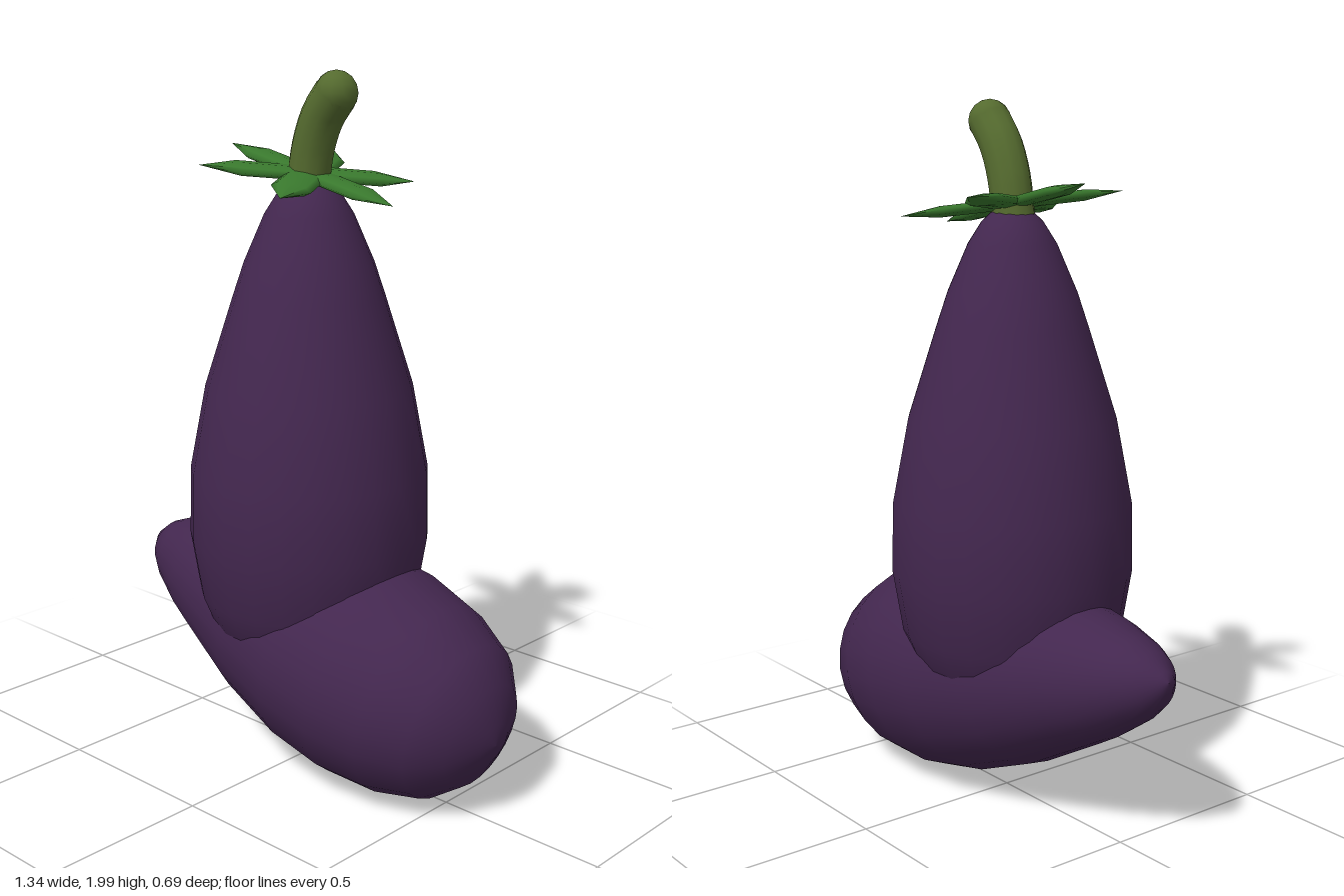
import * as THREE from 'three';

const material = (name, color) => {
  const m = new THREE.MeshStandardMaterial({ color });
  m.name = name;
  return m;
};

export function createModel() {
  const model = new THREE.Group();
  model.name = 'eggplants';
  const skin = material('purple skin', 0x43274f);
  const leafGreen = material('leaf green', 0x3a7a2e);
  const stemGreen = material('stem green', 0x556b2f);

  const add = (parent, name, geometry, mat) => {
    const mesh = new THREE.Mesh(geometry, mat);
    mesh.name = name;
    parent.add(mesh);
    return mesh;
  };

  // Fruit profile: [radius, distance below the narrow tip], blunt end first
  const profile = [
    [0, 1.37], [0.06, 1.36], [0.155, 1.318], [0.235, 1.24], [0.288, 1.11],
    [0.314, 0.95], [0.31, 0.77], [0.268, 0.55], [0.195, 0.32],
    [0.165, 0.23], [0.113, 0.11], [0.078, 0.055], [0.03, 0.01], [0, 0],
  ].map(([r, s]) => new THREE.Vector2(r, -s));
  const fruit = new THREE.LatheGeometry(profile, 24);

  const upright = add(model, 'uprightFruit', fruit, skin);
  upright.position.set(-0.025, 1.73, 0);
  upright.scale.setScalar(1.095);

  const lying = add(model, 'lyingFruit', fruit, skin);
  lying.position.set(-0.675, 0.522, 0);
  lying.rotation.z = 1.364;

  // Calyx: six pointed leaves in a ring, tilted as one
  const calyx = new THREE.Group();
  calyx.name = 'calyx';
  calyx.position.set(-0.025, 1.718, 0);
  calyx.rotation.z = -0.21;
  model.add(calyx);
  const leafProfile = [[0, -0.01], [0.055, 0.05], [0.055, 0.2], [0, 0.31]]
    .map(([r, y]) => new THREE.Vector2(r, y));
  const leaf = new THREE.LatheGeometry(leafProfile, 8);
  leaf.rotateZ(-Math.PI / 2);
  leaf.scale(1, 0.28, 1);
  for (let i = 0; i < 6; i++) {
    add(calyx, 'leaf' + (i + 1), leaf, leafGreen).rotation.y = (i * Math.PI) / 3;
  }

  // Bent stem with a rounded end
  const path = new THREE.CatmullRomCurve3([
    [-0.03, 1.68], [-0.01, 1.79], [0.025, 1.875], [0.075, 1.938],
  ].map(([x, y]) => new THREE.Vector3(x, y, 0)));
  add(model, 'stem', new THREE.TubeGeometry(path, 10, 0.06, 12), stemGreen);
  add(model, 'stemEnd', new THREE.SphereGeometry(0.06, 12, 8), stemGreen)
    .position.set(0.075, 1.938, 0);

  return model;
}
